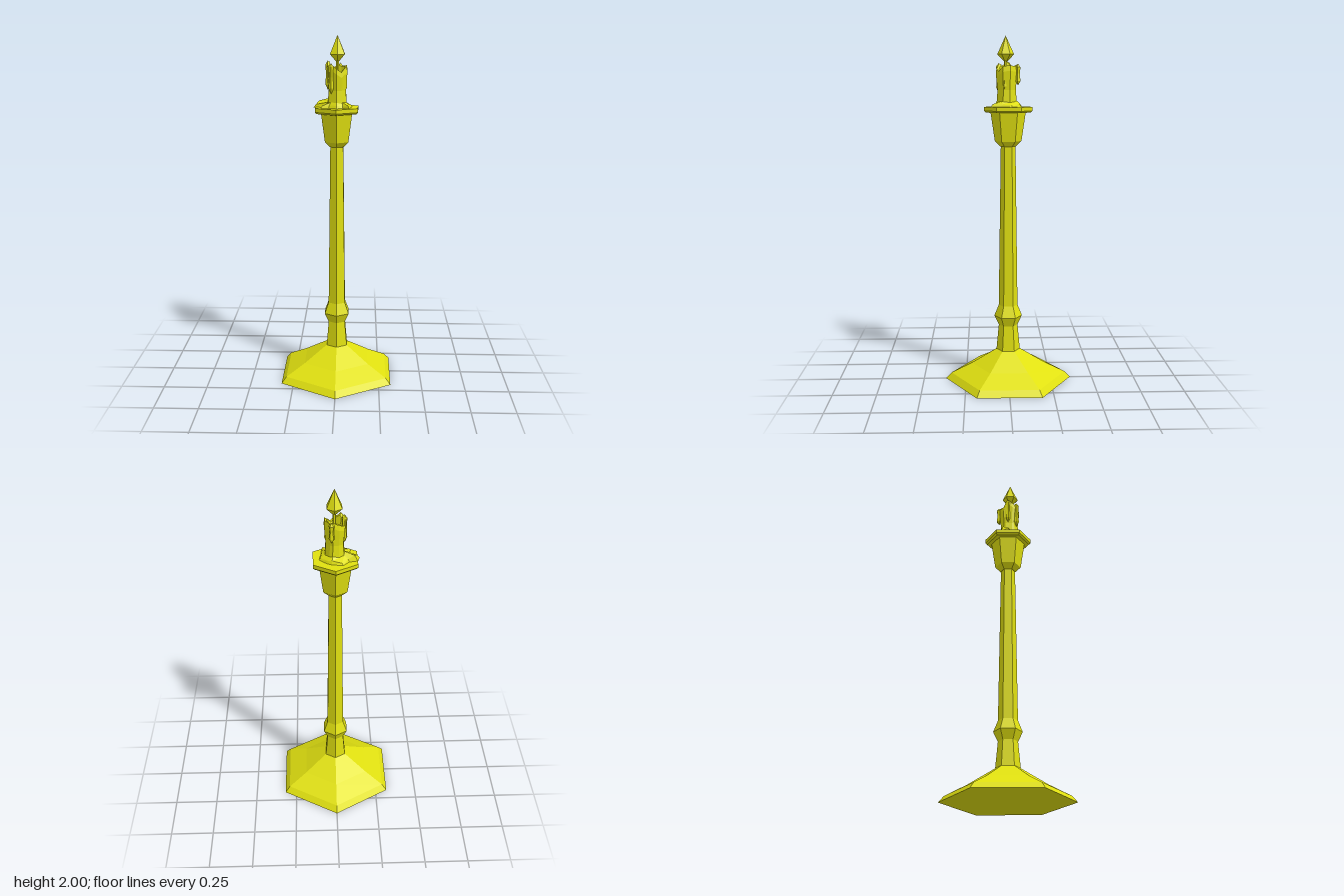
import * as THREE from 'three';

const yellow = new THREE.MeshStandardMaterial({ color: 0xe0e010 });
yellow.name = 'yellow';

// Faceted mesh: every face gets its own normals
function facet(name, geometry) {
  const g = geometry.index ? geometry.toNonIndexed() : geometry;
  g.computeVertexNormals();
  const mesh = new THREE.Mesh(g, yellow);
  mesh.name = name;
  return mesh;
}

// Turned part from [radius, height] pairs; corners point to +z and -z
function turned(name, profile, sides = 6) {
  const points = profile.map(([r, y]) => new THREE.Vector2(r, y));
  return facet(name, new THREE.LatheGeometry(points, sides));
}

// Skin between rings of [x, y, z] points, closed by a centre point
function loft(name, rings, end) {
  const pos = [];
  const n = rings[0].length;
  for (let i = 0; i < rings.length; i++) {
    for (let j = 0; j < n; j++) {
      const k = (j + 1) % n;
      const a = rings[i][j], b = rings[i][k];
      if (i === rings.length - 1) {
        pos.push(...a, ...b, ...end);
      } else {
        const c = rings[i + 1][k], d = rings[i + 1][j];
        pos.push(...a, ...b, ...c, ...a, ...c, ...d);
      }
    }
  }
  const g = new THREE.BufferGeometry();
  g.setAttribute('position', new THREE.Float32BufferAttribute(pos, 3));
  return facet(name, g);
}

function makeCandle() {
  const cx = 0.003, cz = 0.006;
  // Outline of the spilled wax, and the height of each run
  const puddle = [
    [0, 0.082], [0.035, 0.068], [0.072, 0.1], [0.077, 0.04], [0.088, -0.02],
    [0.045, -0.06], [0.02, -0.072], [-0.04, -0.082], [-0.075, -0.045],
    [-0.12, -0.036], [-0.13, 0.003], [-0.06, 0.03], [-0.088, 0.076], [-0.045, 0.058],
  ];
  const runTop = [1.62, 1.615, 1.62, 1.62, 1.615, 1.62, 1.625, 1.615, 1.62, 1.637, 1.62, 1.62, 1.62, 1.62];
  const rimTop = [1.82, 1.8, 1.81, 1.83, 1.835, 1.83, 1.84, 1.82, 1.81, 1.85, 1.86, 1.84, 1.83, 1.845];

  // Hexagonal ring with one point along each direction of the puddle
  const hexRing = (radius, height) => puddle.map(([x, z], i) => {
    const a = Math.atan2(x - cx, z - cz);
    const sector = Math.PI / 3;
    const local = ((a % sector) + sector) % sector - sector / 2;
    const r = radius * Math.cos(sector / 2) / Math.cos(local);
    return [cx + Math.sin(a) * r, height(i), cz + Math.cos(a) * r];
  });
  const foot = puddle.map(([x, z]) => [x, 1.603, z]);
  const run = puddle.map(([x, z], i) => {
    const s = runTop[i] > 1.63 ? 0.85 : 0.9;
    return [cx + (x - cx) * s, runTop[i], cz + (z - cz) * s];
  });
  return loft('candle', [
    foot,
    run,
    hexRing(0.06, (i) => runTop[i] + 0.015),
    hexRing(0.055, () => 1.7),
    hexRing(0.065, (i) => rimTop[i] - 0.03),
    hexRing(0.061, (i) => rimTop[i]),
    hexRing(0.048, (i) => rimTop[i] - 0.005),
    hexRing(0.042, () => 1.785),
  ], [cx, 1.78, cz]);
}

export function createModel() {
  const model = new THREE.Group();
  model.name = 'candlestick';

  model.add(turned('base', [
    [0, 0], [0.369, 0], [0.337, 0.035], [0.216, 0.095], [0.07, 0.182], [0, 0.182],
  ]));
  model.add(turned('stem', [
    [0.069, 0.18], [0.055, 0.33], [0.081, 0.385], [0.055, 0.45], [0.042, 1.385],
  ]));
  model.add(turned('cup', [
    [0, 1.382], [0.045, 1.382], [0.076, 1.412], [0.1, 1.575], [0, 1.575],
  ]));
  model.add(turned('dripPan', [
    [0, 1.573], [0.127, 1.573], [0.138, 1.583], [0.138, 1.605], [0, 1.605],
  ]));
  model.add(makeCandle());

  // Wax runs down the candle: x, z, top, length, radius
  const drips = [
    [-0.05, 0.0, 1.86, 0.16, 0.014],
    [-0.03, 0.052, 1.85, 0.17, 0.015],
    [0.02, -0.055, 1.845, 0.12, 0.016],
    [0.046, 0.02, 1.83, 0.14, 0.012],
  ];
  for (const [x, z, top, length, r] of drips) {
    const drip = turned('waxDrip', [
      [0, -length], [r, -length * 0.8], [r * 0.75, -length * 0.45], [r, -0.02], [0, 0],
    ], 5);
    drip.position.set(x, top, z);
    model.add(drip);
  }

  const wick = turned('wick', [[0.009, 1.78], [0.009, 1.87]], 5);
  const flame = turned('flame', [[0, 1.855], [0.012, 1.86], [0.047, 1.897], [0, 2]]);
  for (const part of [wick, flame]) {
    part.position.set(0.004, 0, 0.014);
    model.add(part);
  }
  return model;
}
